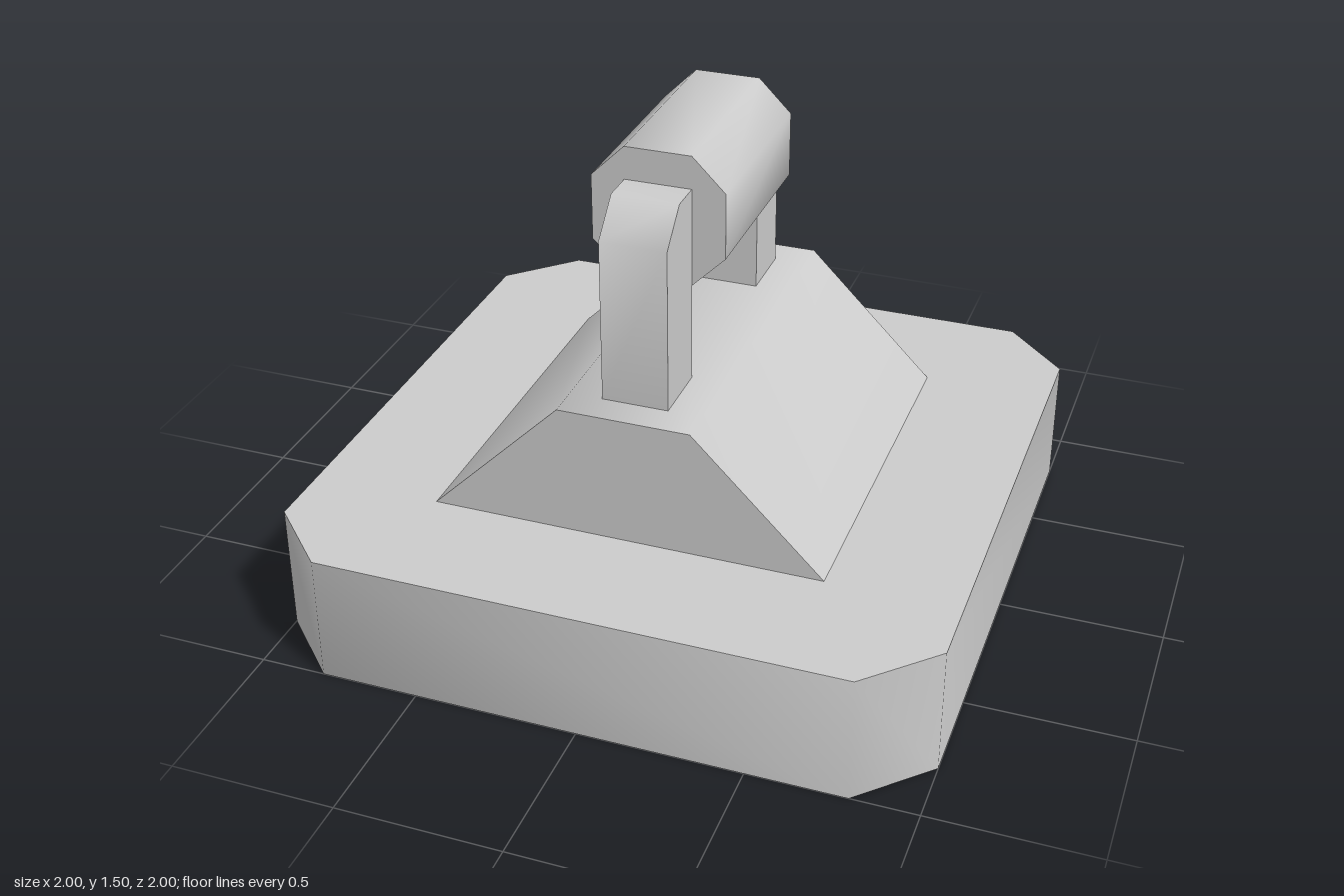
import * as THREE from 'three';
import { toCreasedNormals } from 'three/addons/utils/BufferGeometryUtils.js';

const material = new THREE.MeshStandardMaterial({ color: 0xcccccc });

// Extrude an outline, centred on its depth; 45 degree bevels stay smooth, right angles sharp
function prism(points, depth) {
  const shape = new THREE.Shape(points.map(([x, y]) => new THREE.Vector2(x, y)));
  const geometry = new THREE.ExtrudeGeometry(shape, { depth, bevelEnabled: false });
  geometry.translate(0, 0, -depth / 2);
  return toCreasedNormals(geometry, THREE.MathUtils.degToRad(60));
}

// Square outline of half size r with corners cut by c
function cutSquare(r, c) {
  const k = r - c;
  return [[k, -r], [r, -k], [r, k], [k, r], [-k, r], [-r, k], [-r, -k], [-k, -r]];
}

export function createModel() {
  const group = new THREE.Group();
  const add = (name, geometry) => {
    const mesh = new THREE.Mesh(geometry, material);
    mesh.name = name;
    group.add(mesh);
    return mesh;
  };

  // Square base slab with cut corners
  add('base', prism(cutSquare(1, 0.2), 0.4).rotateX(-Math.PI / 2)).position.y = 0.2;

  // Ridge with sloping left and right sides
  add('ridge', prism([[-0.6, 0.4], [0.6, 0.4], [0.2, 0.8], [-0.2, 0.8]], 1.2));

  // Handle posts, chamfered at the outer top edge
  const post = [[0.3, 0.8], [0.5, 0.8], [0.5, 1.3], [0.4, 1.4], [0.3, 1.4]];
  for (const [name, side] of [['frontPost', 1], ['backPost', -1]]) {
    add(name, prism(post, 0.2).rotateY(-side * Math.PI / 2));
  }

  // Octagonal grip between the posts
  add('grip', prism(cutSquare(0.2, 0.1), 0.6)).position.y = 1.3;

  return group;
}
